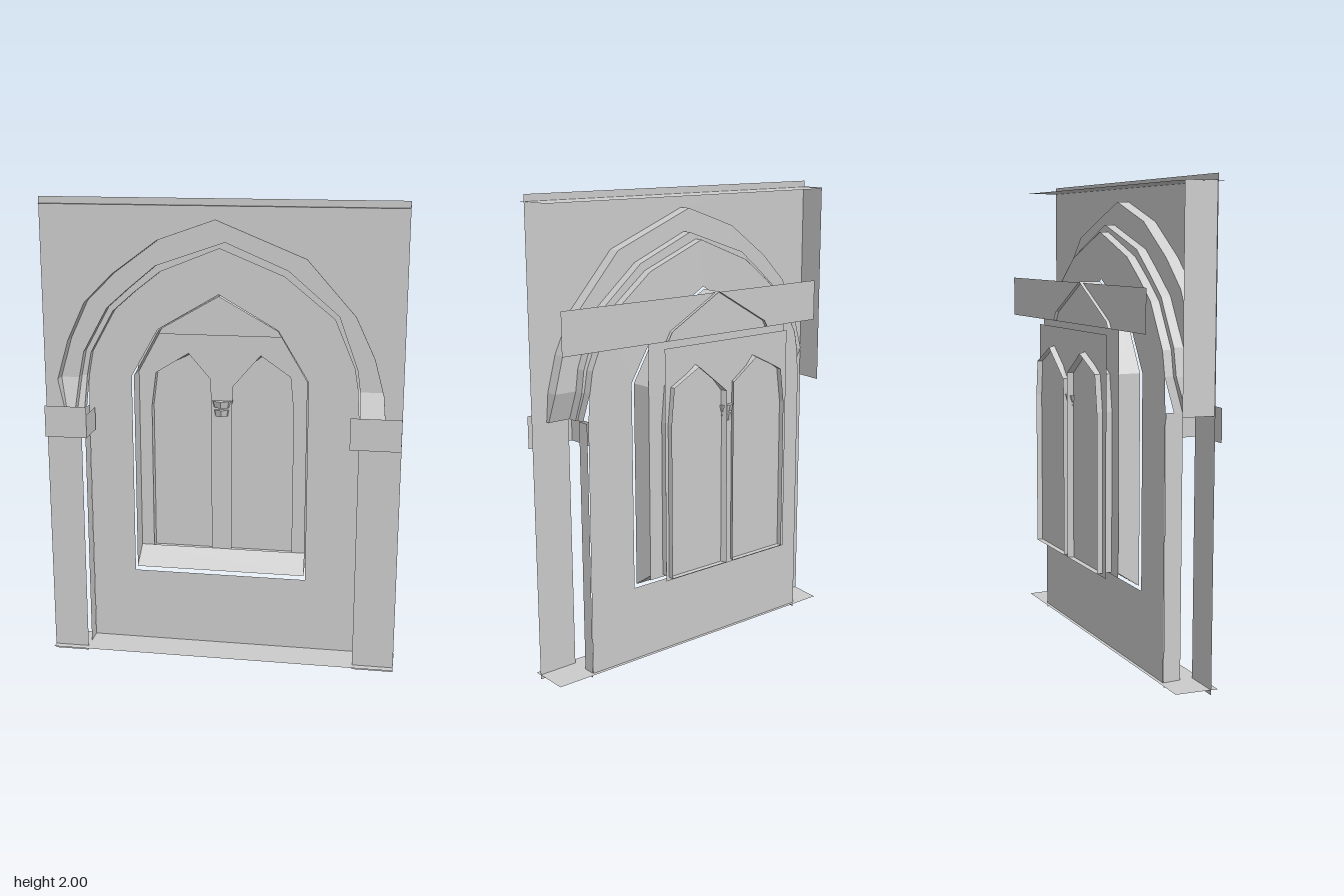
import * as THREE from 'three';

const material = new THREE.MeshStandardMaterial({
  color: 0xcccccc, side: THREE.DoubleSide, flatShading: true,
});

// Pointed arch outlines with matching points, from one springing to the other
const outerArch = [[-.665, 1.1], [-.695, 1.24], [-.645, 1.41], [-.57, 1.57], [-.45, 1.69], [-.26, 1.83], [-.02, 1.915],
  [.35, 1.765], [.55, 1.54], [.63, 1.37], [.67, 1.22], [.68, 1.1]];
const middleArch = [[-.63, 1.1], [-.617, 1.24], [-.595, 1.35], [-.49, 1.54], [-.4, 1.62], [-.28, 1.72], [.01, 1.82],
  [.27, 1.71], [.48, 1.53], [.56, 1.31], [.572, 1.22], [.58, 1.1]];
const innerArch = [[-.6, 1.1], [-.594, 1.24], [-.575, 1.34], [-.475, 1.52], [-.385, 1.6], [-.27, 1.69], [-.02, 1.79],
  [.25, 1.68], [.46, 1.51], [.545, 1.31], [.56, 1.22], [.57, 1.1]];
const windowArch = [[-.4, 1.235], [-.29, 1.435], [-.03, 1.585], [.22, 1.445], [.345, 1.235]];
const windowOutline = [[-.408, .345], [-.408, 1.235], [-.292, 1.44], [-.03, 1.595], [.222, 1.45], [.352, 1.235], [.352, .345]];
const lancets = [
  [[-.345, .42], [-.345, 1.08], [-.325, 1.23], [-.18, 1.32], [-.085, 1.21], [-.08, 1.08], [-.08, .42]],
  [[.01, .42], [.01, 1.08], [.015, 1.18], [.135, 1.32], [.265, 1.23], [.28, 1.08], [.28, .42]],
];

export function createModel() {
  const group = new THREE.Group();

  const add = (name, geometry) => {
    const mesh = new THREE.Mesh(geometry, material);
    mesh.name = name;
    group.add(mesh);
    return mesh;
  };
  const vectors = (points) => points.map(([x, y]) => new THREE.Vector2(x, y));

  // Flat sheet facing the front, with optional openings
  const sheet = (name, points, z, holes = []) => {
    const shape = new THREE.Shape(vectors(points));
    holes.forEach((h) => shape.holes.push(new THREE.Path(vectors(h))));
    return add(name, new THREE.ShapeGeometry(shape).translate(0, 0, z));
  };
  // Surface from a front outline to an equal or altered rear outline
  const reveal = (name, front, zFront, zBack, back = front) => {
    const position = [], index = [];
    front.forEach(([x, y], i) => {
      position.push(x, y, zFront, back[i][0], back[i][1], zBack);
      if (i) index.push(2 * i - 2, 2 * i, 2 * i - 1, 2 * i - 1, 2 * i, 2 * i + 1);
    });
    const g = new THREE.BufferGeometry();
    g.setAttribute('position', new THREE.Float32BufferAttribute(position, 3));
    g.setIndex(index);
    g.computeVertexNormals();
    return add(name, g);
  };
  const rect = (x0, x1, y0, y1) => [[x0, y0], [x1, y0], [x1, y1], [x0, y1]];
  // Mouldings lean forward where they meet the capitals
  const moulding = (name, front, zFront, zBack, back) => {
    const mesh = reveal(name, front, zFront, zBack, back);
    const p = mesh.geometry.attributes.position;
    for (let i = 0; i < p.count; i++) {
      if (p.getY(i) < 1.15 && p.getZ(i) < .1) p.setZ(i, p.getZ(i) + .038);
    }
    mesh.geometry.computeVertexNormals();
  };

  // Front wall above the capitals
  sheet('frontWall', [[-.75, 1.1], [-.75, 2], [.75, 2], [.75, 1.1], ...[...outerArch].reverse()], .135);
  reveal('sideWall', [[-.745, 1.1], [-.745, 1.975]], .135, .005, [[-.73, 1.1], [-.73, 1.975]]);
  reveal('topSlab', [[-.75, 1.972], [.75, 1.972]], .165, -.012, [[-.73, 1.972], [.75, 1.972]]);
  reveal('floorSlab', [[-.75, .02], [.75, .02]], .165, -.012, [[-.73, .02], [.75, .02]]);

  // Stepped arch mouldings
  moulding('outerSoffit', outerArch, .14, .082);
  moulding('outerArchFace', outerArch, .082, .082, middleArch);
  moulding('middleSoffit', middleArch, .082, .04);
  moulding('innerArchFace', middleArch, .04, .04, innerArch);
  moulding('innerSoffit', innerArch, .04, .002);

  // Recessed wall with the window opening
  sheet('recessedWall', [[-.6, .015], ...innerArch, [.575, .015]], .003, [windowOutline]);

  // Piers, jambs and capitals
  sheet('leftPier', rect(.575, .75, 0, 1.1), .135);
  sheet('rightPier', rect(-.75, -.6, 0, 1.1), .135);
  reveal('leftJamb', [[.575, 0], [.575, 1.1]], .06, .005);
  reveal('rightJamb', [[-.6, 0], [-.6, 1.1]], .08, .005);
  sheet('leftCapital', rect(.54, .75, .995, 1.13), .165);
  sheet('rightCapital', rect(-.75, -.57, .995, 1.13), .165);
  reveal('leftCapitalSide', [[.54, .995], [.54, 1.095]], .165, .02);
  reveal('rightCapitalSide', [[-.57, .995], [-.57, 1.095]], .165, .02);

  // Window surround and sloping sill
  reveal('windowReveal', [[-.4, .365], ...windowArch, [.345, .365]], -.003, -.1,
    [[-.4, .43], ...windowArch, [.345, .43]]);
  reveal('windowSill', [[-.4, .362], [.345, .362]], 0, -.1, [[-.4, .43], [.345, .43]]);

  // Tracery plate with twin lancets, and the long strip above it
  sheet('traceryPlate', rect(-.405, .345, .41, 1.41), -.1, lancets);
  sheet('traceryStrip', rect(-.605, .745, 1.405, 1.58), -.085);

  // Lancet reveals; the mullion narrows towards the rear
  lancets.forEach((l) => {
    const front = [...l, l[0]];
    const back = front.map(([x, y]) => [
      Math.abs(x + .035) < .06 ? -.035 + (x + .035) * .4 : x, y > 1.3 ? 1.3 : y]);
    reveal('lancetReveal', front, -.1, -.167, back);
  });

  // Mullion capital
  [1.06, 1.1].forEach((y, i) => {
    const g = new THREE.CylinderGeometry(.04 + i * .008, .034 + i * .006, .03, 8);
    add('mullionCapital', g.translate(-.035, y, -.118));
  });

  // Glazing panel behind the tracery
  sheet('glazing', rect(-.38, .295, .405, 1.39), -.142);

  return group;
}
